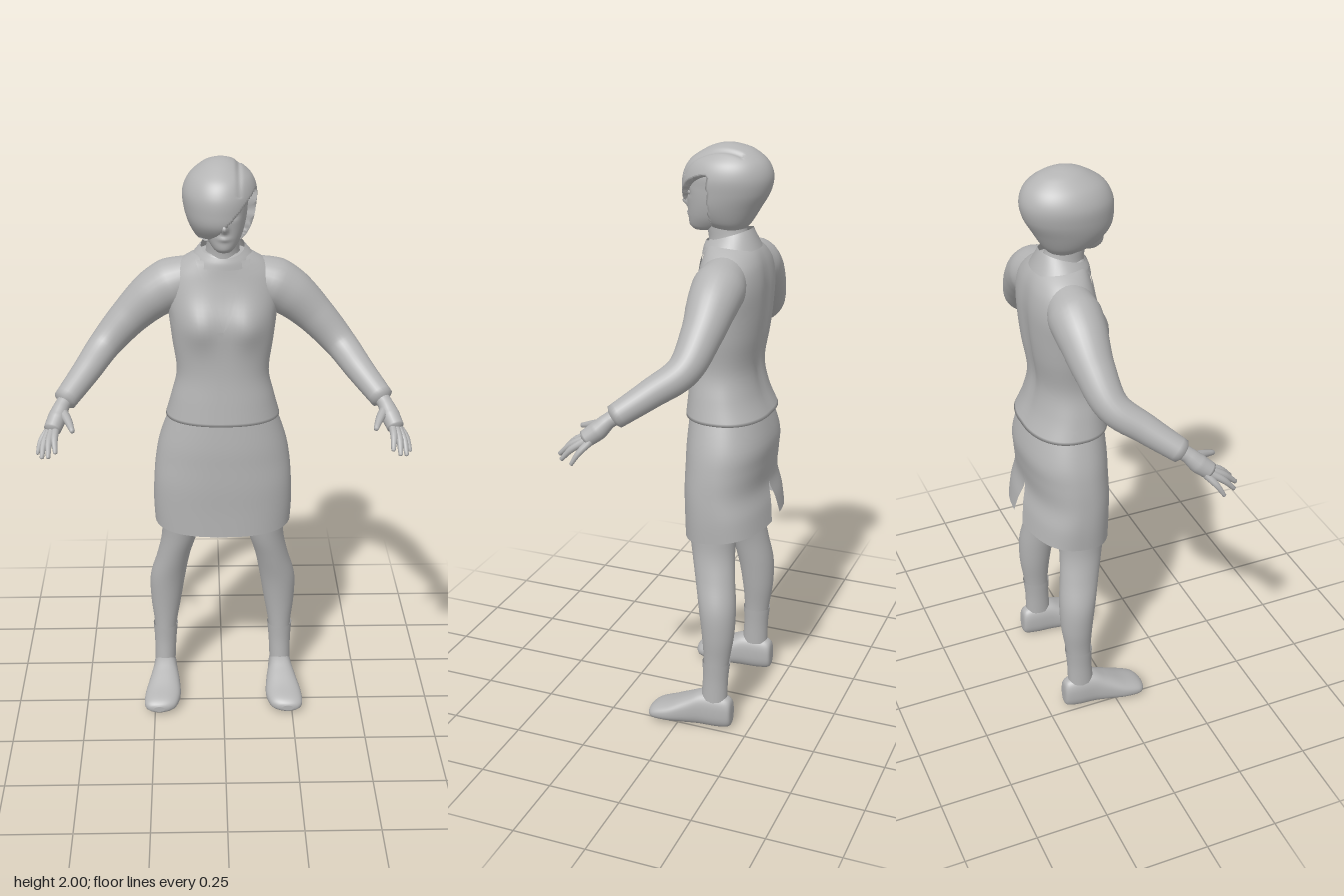
import * as THREE from 'three';
import { mergeVertices } from 'three/addons/utils/BufferGeometryUtils.js';

const grey = new THREE.MeshStandardMaterial({ color: 0xb4b4b4, side: THREE.DoubleSide });
grey.name = 'plain grey';

// Grid of points (rows of equal length) to a smooth surface
function skin(rows) {
  const n = rows[0].length, index = [];
  for (let j = 0; j < rows.length - 1; j++) for (let i = 0; i < n - 1; i++) {
    const a = j * n + i, d = a + n;
    index.push(a, a + 1, d, a + 1, d + 1, d);
  }
  let geo = new THREE.BufferGeometry().setFromPoints(rows.flat());
  geo.setIndex(index);
  geo = mergeVertices(geo, 1e-5);
  geo.computeVertexNormals();
  return geo;
}

// Upright loft. Ring: [y, xMin, xMax, zBack, zFront, squareness, backGap, tilt], listed upwards
function loft(rings, { seg = 40, steps = 5, capped = true, shape } = {}) {
  const full = rings.map(r => [...r, ...[2, 0, 0].slice(r.length - 5)]);
  const at = k => full[Math.min(Math.max(k, 0), full.length - 1)];
  const rows = [];
  for (let s = 0; s <= (full.length - 1) * steps; s++) {
    const k = Math.min(Math.floor(s / steps), full.length - 2), f = s / steps - k;
    const [y, x0, x1, z0, z1, n, gap, tilt] = full[0].map((_, c) => {
      const a = at(k - 1)[c], b = at(k)[c], d = at(k + 1)[c], e = at(k + 2)[c];
      return b + 0.5 * f * (d - a + f * (2 * a - 5 * b + 4 * d - e + f * (3 * (b - d) + e - a)));
    });
    const row = [];
    for (let i = 0; i <= seg; i++) {
      const t = (i / seg * 2 - 1) * (Math.PI - gap);
      const pow = v => Math.sign(v) * Math.abs(v) ** (2 / n);
      const sx = pow(Math.sin(t)), cz = pow(Math.cos(t));
      const p = new THREE.Vector3((x0 + x1) / 2 + (x1 - x0) / 2 * sx, y - tilt * cz,
        (z0 + z1) / 2 + (z1 - z0) / 2 * cz);
      if (shape) shape(p);
      row.push(p);
    }
    rows.push(row);
  }
  if (capped) for (const end of [0, rows.length - 1]) {
    const mid = new THREE.Vector3();
    rows[end].slice(1).forEach(p => mid.addScaledVector(p, 1 / seg));
    const cap = rows[end].map(() => mid.clone());
    if (end === 0) rows.unshift(cap); else rows.push(cap);
    if (end === 0) rows.splice(1, 0), rows.length;
  }
  return skin(rows);
}

// Tapered limb along points [x, y, z, radius], rounded off at the far end
function limb(points, seg = 20, steps = 24) {
  const curve = new THREE.CatmullRomCurve3(points.map(p => new THREE.Vector3(p[0], p[1], p[2])));
  const frames = curve.computeFrenetFrames(steps);
  const rows = [];
  for (let s = 0; s <= steps; s++) {
    const u = s / steps, g = curve.getUtoTmapping(u) * (points.length - 1);
    const k = Math.min(Math.floor(g), points.length - 2);
    const r = THREE.MathUtils.lerp(points[k][3], points[k + 1][3], g - k);
    const c = curve.getPointAt(u), row = [];
    for (let i = 0; i <= seg; i++) {
      const t = i / seg * Math.PI * 2;
      row.push(c.clone().addScaledVector(frames.normals[s], r * Math.cos(t))
        .addScaledVector(frames.binormals[s], r * Math.sin(t)));
    }
    rows.push(row);
  }
  const tip = curve.getPointAt(1).addScaledVector(frames.tangents[steps], points.at(-1)[3] * 0.6);
  rows.push(rows[0].map(() => tip.clone()));
  return skin(rows);
}

export function createModel() {
  const model = new THREE.Group();
  const add = (name, geo, parent = model) => {
    const mesh = new THREE.Mesh(geo, grey);
    mesh.name = name;
    parent.add(mesh);
    return mesh;
  };
  const bump = (p, x, y, rx, ry) => Math.exp(-(((p.x - x) / rx) ** 2) - ((p.y - y) / ry) ** 2);

  // Jacket body with bust
  const jacket = add('jacket', loft([
    [1.115, -0.195, 0.195, -0.247, 0.037, 2.3], [1.19, -0.175, 0.175, -0.215, 0.03, 2.3],
    [1.28, -0.156, 0.156, -0.2, 0.022, 2.3], [1.39, -0.17, 0.17, -0.215, 0.02, 2.4],
    [1.47, -0.18, 0.18, -0.223, 0.015, 2.4], [1.55, -0.19, 0.19, -0.225, 0.0, 2.4],
    [1.61, -0.18, 0.18, -0.218, -0.012, 2.3], [1.65, -0.15, 0.15, -0.205, -0.018, 2.1],
    [1.68, -0.105, 0.105, -0.185, -0.022], [1.695, -0.07, 0.07, -0.165, -0.03],
  ], {
    seg: 64,
    shape: p => {
      if (p.z > -0.05) p.z += 0.026 * (bump(p, 0.08, 1.46, 0.06, 0.07) + bump(p, -0.08, 1.46, 0.06, 0.07));
      else if (p.z < -0.15) p.z += 0.012 * bump(p, 0, 1.4, 0.03, 0.2);
    },
  }));

  // Lapels and front edge, laid onto the jacket
  jacket.updateMatrixWorld();
  const ray = new THREE.Raycaster();
  const onChest = (x, y) => {
    ray.set(new THREE.Vector3(x, y, 1), new THREE.Vector3(0, 0, -1));
    const hit = ray.intersectObject(jacket)[0];
    return new THREE.Vector3(x, y, (hit ? hit.point.z : 0) + 0.005);
  };
  const strip = (y0, y1, xa, xb) => skin(Array.from({ length: 19 }, (_, j) => {
    const s = j / 18, y = y0 + (y1 - y0) * s;
    return Array.from({ length: 5 }, (_, i) => onChest(xa(s) + (xb(s) - xa(s)) * i / 4, y));
  }));
  add('leftLapel', strip(1.45, 1.675, s => 0.06 * s, s => 0.06 * s + 0.03 * Math.sqrt(s)));
  add('rightLapel', strip(1.45, 1.675, s => -0.06 * s - 0.03 * Math.sqrt(s), s => -0.06 * s));
  add('frontEdge', strip(1.125, 1.45, () => -0.02, () => 0));
  add('collar', loft([
    [1.66, -0.115, 0.115, -0.195, -0.005, 2, 0, 0.012], [1.685, -0.095, 0.095, -0.182, -0.008, 2, 0, 0.016],
    [1.71, -0.072, 0.072, -0.168, -0.014, 2, 0, 0.024],
  ], { capped: false }));

  // Skirt with a slit at the back and a hem that dips in front
  add('skirt', loft([
    [0.713, -0.24, 0.24, -0.266, 0.026, 2.5, 0.11, 0.022], [0.79, -0.243, 0.243, -0.255, 0.027, 2.5, 0.05, 0.01],
    [0.87, -0.24, 0.24, -0.238, 0.03, 2.4], [0.95, -0.233, 0.233, -0.246, 0.03, 2.3],
    [1.03, -0.217, 0.217, -0.25, 0.029, 2.3], [1.15, -0.175, 0.175, -0.215, 0.02, 2.3],
  ], { seg: 64, capped: false }));

  // Neck and face
  add('neck', loft([
    [1.63, -0.075, 0.075, -0.18, -0.02], [1.69, -0.057, 0.057, -0.16, -0.022],
    [1.74, -0.053, 0.053, -0.145, -0.015], [1.82, -0.055, 0.055, -0.15, -0.01],
  ]));
  add('face', loft([
    [1.718, -0.022, 0.026, -0.03, 0.03], [1.732, -0.038, 0.042, -0.08, 0.045], [1.765, -0.057, 0.061, -0.12, 0.048],
    [1.81, -0.072, 0.074, -0.15, 0.05], [1.86, -0.08, 0.08, -0.17, 0.053], [1.91, -0.08, 0.08, -0.17, 0.045],
    [1.95, -0.05, 0.05, -0.14, 0.0],
  ], {
    seg: 64, steps: 8,
    shape: p => { // eye sockets, nose and mouth
      if (p.z < 0) return;
      p.z += 0.02 * bump(p, 0.002, 1.803, 0.011, 0.014) + 0.01 * bump(p, 0.002, 1.83, 0.009, 0.025)
        + 0.007 * bump(p, 0.002, 1.768, 0.02, 0.008)
        - 0.009 * (bump(p, 0.032, 1.842, 0.016, 0.012) + bump(p, -0.028, 1.842, 0.016, 0.012));
    },
  }));
  for (const x of [-0.028, 0.032]) {
    const eye = add('eye', new THREE.SphereGeometry(0.011, 16, 10));
    eye.position.set(x, 1.842, 0.031);
  }

  // Bobbed hair, swept across the face and tucked in where the face is open
  add('hair', loft([
    [1.73, -0.06, 0.05, -0.145, -0.04], [1.755, -0.088, 0.075, -0.165, 0.02], [1.8, -0.112, 0.096, -0.192, 0.062],
    [1.85, -0.127, 0.107, -0.22, 0.071], [1.9, -0.13, 0.11, -0.229, 0.066], [1.945, -0.11, 0.094, -0.212, 0.04],
    [1.98, -0.07, 0.055, -0.17, -0.012], [1.995, -0.038, 0.025, -0.125, -0.05], [2.0, -0.012, 0.004, -0.095, -0.08],
  ], {
    seg: 120, steps: 10,
    shape: p => {
      const below = 1.755 + (p.x + 0.035) * 1.1 - p.y;
      const open = Math.min(below, p.z + 0.045, p.x + 0.06);
      const cut = Math.max(open, p.z > -0.03 && p.x > -0.1 ? 1.757 - p.y : -1);
      const k = 1 - 0.38 * THREE.MathUtils.smoothstep(cut, -0.002, 0.003);
      p.x = -0.005 + (p.x + 0.005) * k;
      p.z = -0.08 + (p.z + 0.08) * k;
      // parting groove
      if (p.y > 1.9) p.y -= 0.007 * Math.exp(-(((p.x - 0.05) / 0.008) ** 2)) * (p.z > -0.15 ? 1 : 0);
    },
  }));

  // Arms, hands, legs and shoes, built on the left and mirrored
  for (const side of [1, -1]) {
    const half = new THREE.Group();
    half.name = side > 0 ? 'leftLimbs' : 'rightLimbs';
    half.scale.x = side;
    model.add(half);
    add('sleeve', limb([
      [0.09, 1.6, -0.115, 0.07], [0.17, 1.572, -0.118, 0.087], [0.23, 1.535, -0.118, 0.081],
      [0.31, 1.462, -0.114, 0.066], [0.395, 1.37, -0.088, 0.054], [0.455, 1.306, -0.005, 0.047],
      [0.522, 1.24, 0.088, 0.039],
    ], 28, 40), half);
    add('palm', limb([
      [0.51, 1.25, 0.07, 0.026], [0.53, 1.228, 0.105, 0.025], [0.545, 1.198, 0.135, 0.031],
      [0.56, 1.17, 0.17, 0.028],
    ]), half);
    const fingers = {
      thumb: [[0.53, 1.215, 0.12, 0.017], [0.508, 1.2, 0.165, 0.014], [0.49, 1.183, 0.215, 0.008]],
      indexFinger: [[0.547, 1.18, 0.16, 0.014], [0.55, 1.157, 0.21, 0.012], [0.545, 1.122, 0.249, 0.007]],
      middleFinger: [[0.558, 1.175, 0.165, 0.014], [0.568, 1.148, 0.215, 0.012], [0.568, 1.11, 0.258, 0.007]],
      ringFinger: [[0.568, 1.168, 0.165, 0.014], [0.585, 1.14, 0.207, 0.011], [0.59, 1.102, 0.242, 0.007]],
      littleFinger: [[0.57, 1.168, 0.15, 0.013], [0.597, 1.135, 0.178, 0.01], [0.608, 1.098, 0.2, 0.006]],
    };
    for (const [name, path] of Object.entries(fingers)) add(name, limb(path, 10, 8), half);
    add('leg', loft([
      [0.09, 0.18, 0.25, -0.165, -0.08], [0.2, 0.175, 0.249, -0.168, -0.086], [0.27, 0.168, 0.252, -0.177, -0.085],
      [0.36, 0.152, 0.262, -0.19, -0.078], [0.46, 0.136, 0.262, -0.192, -0.064], [0.56, 0.118, 0.235, -0.18, -0.042],
      [0.65, 0.092, 0.217, -0.172, -0.022], [0.75, 0.07, 0.215, -0.18, -0.008], [0.92, 0.005, 0.2, -0.2, 0],
    ]), half);
    add('sock', loft([
      [0.11, 0.176, 0.252, -0.17, -0.078], [0.19, 0.172, 0.252, -0.172, -0.083], [0.255, 0.166, 0.256, -0.179, -0.081],
    ], { capped: false }), half);
    // Shoe: sections run from heel to toe, then are laid down
    const shoe = loft([
      [-0.19, 0.2, 0.228, -0.08, -0.03, 2.4], [-0.182, 0.183, 0.244, -0.113, -0.008, 2.4],
      [-0.14, 0.174, 0.254, -0.128, -0.001, 2.5], [-0.08, 0.168, 0.26, -0.128, 0, 2.5],
      [-0.03, 0.16, 0.272, -0.106, 0, 2.5], [0.03, 0.157, 0.286, -0.078, -0.002, 2.4],
      [0.08, 0.17, 0.287, -0.06, -0.006, 2.3], [0.1, 0.192, 0.274, -0.048, -0.011, 2.2],
      [0.107, 0.215, 0.253, -0.038, -0.018],
    ]);
    add('shoe', shoe.rotateX(Math.PI / 2), half);
  }
  return model;
}
